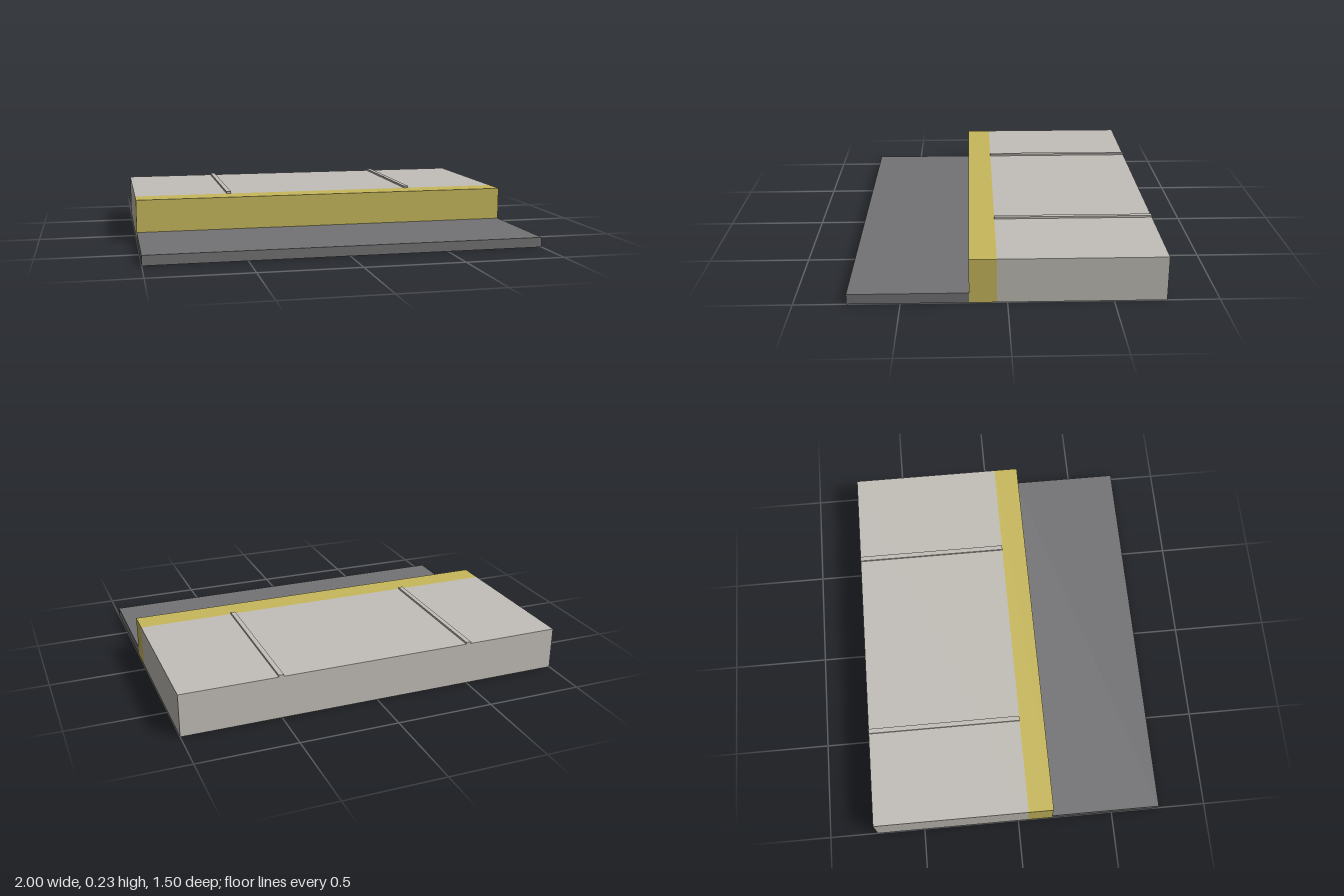
import * as THREE from 'three';

export function createModel() {
  const model = new THREE.Group();
  const material = (name, color) => {
    const m = new THREE.MeshStandardMaterial({ color });
    m.name = name;
    return m;
  };
  const concrete = material('concrete', 0xc2beb8);
  const yellow = material('curbYellow', 0xc8b95c);
  const asphalt = material('asphalt', 0x737375);

  const add = (name, geometry, mat) => {
    const mesh = new THREE.Mesh(geometry, mat);
    mesh.name = name;
    model.add(mesh);
    return mesh;
  };
  // Box given by its centre x, width and its y and z limits
  const slab = (name, mat, x, width, y0, y1, z0, z1) =>
    add(name, new THREE.BoxGeometry(width, y1 - y0, z1 - z0), mat)
      .position.set(x, (y0 + y1) / 2, (z0 + z1) / 2);

  // Raised pavement and painted curb
  slab('sidewalk', concrete, 0, 2, 0, 0.22, -0.75, 0.05);
  slab('curb', yellow, 0, 2, 0, 0.22, 0.05, 0.18);

  // Ridges dividing the pavement into three panels
  for (const x of [-0.5, 0.5]) slab('pavementJoint', concrete, x, 0.025, 0.22, 0.23, -0.75, 0.05);

  // Gutter strip set into the underside of the road, along the curb
  slab('gutter', concrete, 0, 2, 0, 0.004, 0.18, 0.24);

  // Road with a shallow step over the gutter; profile is (-z, y), extruded along x
  const profile = new THREE.Shape([
    [-0.75, 0], [-0.24, 0], [-0.24, 0.004], [-0.18, 0.004], [-0.18, 0.05], [-0.75, 0.05],
  ].map(([a, b]) => new THREE.Vector2(a, b)));
  const road = new THREE.ExtrudeGeometry(profile, { depth: 2, bevelEnabled: false });
  road.translate(0, 0, -1).rotateY(Math.PI / 2);
  add('road', road, asphalt);

  return model;
}
